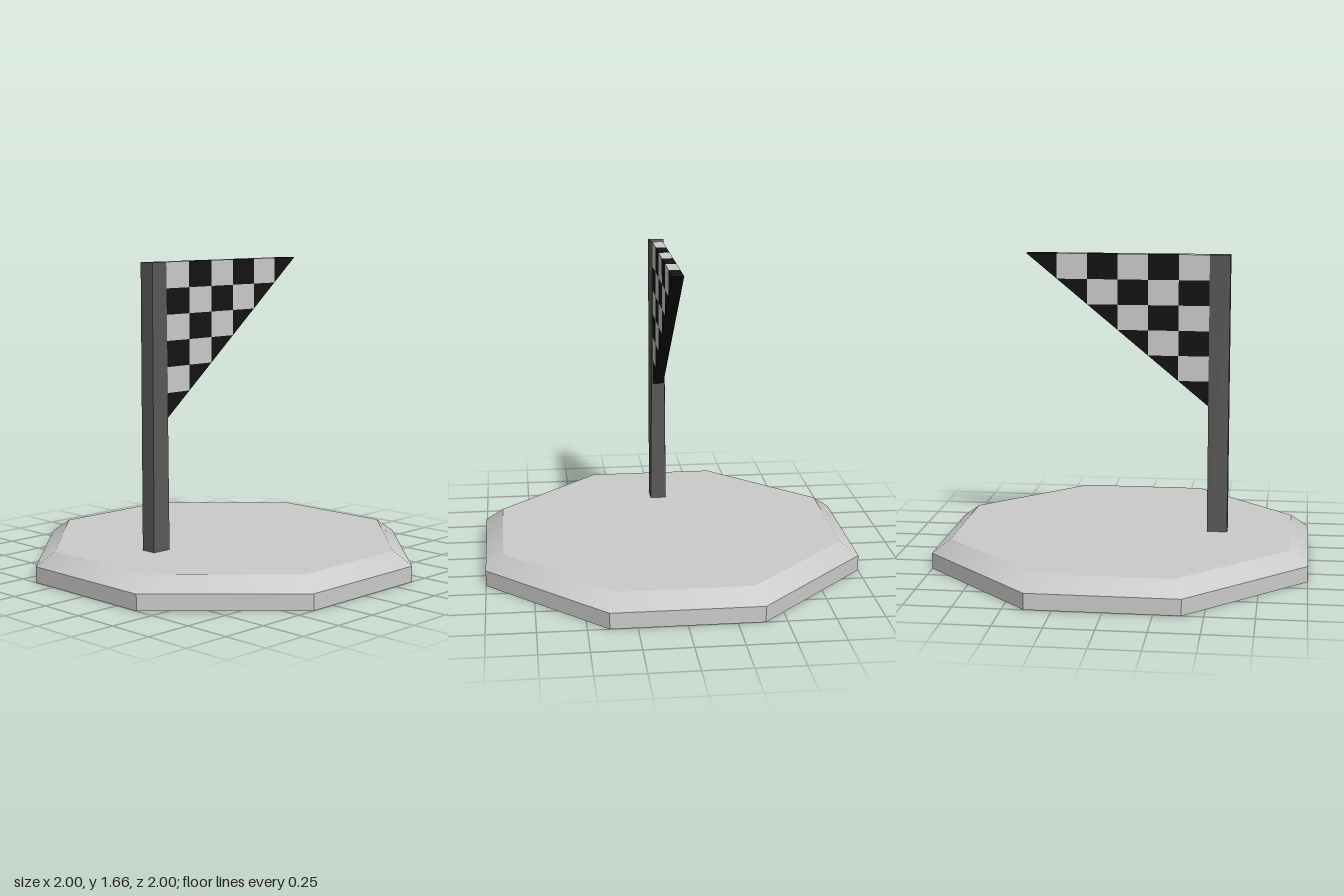
import * as THREE from 'three';
import { mergeGeometries } from 'three/addons/utils/BufferGeometryUtils.js';

const grey = new THREE.MeshStandardMaterial({ color: 0xcccccc });
const greyFlat = new THREE.MeshStandardMaterial({ color: 0xcccccc, flatShading: true });
const dark = new THREE.MeshStandardMaterial({ color: 0x5a5a5a, flatShading: true });
const black = new THREE.MeshStandardMaterial({ color: 0x131313, flatShading: true });

function add(group, name, geometry, material) {
  const mesh = new THREE.Mesh(geometry, material);
  mesh.name = name;
  group.add(mesh);
}

// Eight-sided ring between two heights; each end is [apothem, half side length]
function octagon(bottom, top, y0, y1, open) {
  const h = y1 - y0;
  const g = new THREE.CylinderGeometry(
    Math.hypot(...top), Math.hypot(...bottom), h, 8, 1, open, Math.PI / 8);
  const p = g.attributes.position;
  for (let i = 0; i < p.count; i++) {
    const [far, near] = p.getY(i) > 0 ? top : bottom;
    const x = p.getX(i), z = p.getZ(i);
    if (Math.hypot(x, z) < 0.01) continue; // cap centre
    const wide = Math.abs(x) > Math.abs(z);
    p.setX(i, Math.sign(x) * (wide ? far : near));
    p.setZ(i, Math.sign(z) * (wide ? near : far));
  }
  return g.translate(0, y0 + h / 2, 0);
}

// Flat polygon from corners in counter-clockwise order
function face(corners) {
  const points = [];
  for (let i = 1; i < corners.length - 1; i++) {
    points.push(...corners[0], ...corners[i], ...corners[i + 1]);
  }
  const g = new THREE.BufferGeometry();
  g.setAttribute('position', new THREE.Float32BufferAttribute(points, 3));
  g.computeVertexNormals();
  return g;
}

function createBase() {
  const base = new THREE.Group();
  base.name = 'base';
  const outer = [1, 0.39], inner = [0.905, 0.35];
  const walls = octagon(outer, outer, 0, 0.085, true);
  add(base, 'baseWalls', walls, greyFlat);
  add(base, 'baseBevel', octagon(outer, inner, 0.085, 0.157, true), grey);
  // Floor and top plates
  const ring = ([f, n], y) => [[f, n], [n, f], [-n, f], [-f, n], [-f, -n], [-n, -f], [n, -f], [f, -n]]
    .map(([x, z]) => [x, y, z]);
  add(base, 'baseUnderside', face(ring(outer, 0)), greyFlat);
  add(base, 'baseTop', face(ring(inner, 0.157).reverse()), greyFlat);
  return base;
}

function createPole() {
  const g = new THREE.BoxGeometry(0.11, 1.508, 0.088);
  // The flag side narrows toward the top to the flag's thickness
  const p = g.attributes.position;
  for (let i = 0; i < p.count; i++) {
    if (p.getX(i) > 0 && p.getY(i) > 0) p.setZ(i, Math.sign(p.getZ(i)) * 0.03);
  }
  return g.translate(-0.505, 0.911, 0);
}

function createFlag() {
  const flag = new THREE.Group();
  flag.name = 'flag';
  const n = 6, left = -0.45, top = 1.665, w = 0.985 / n, h = 0.815 / n, t = 0.03;
  const at = (i, j, z) => [left + i * w, top - j * h, z];
  const cells = [[], []]; // light, dark

  // Checks on both sides; those on the slanted edge are triangles
  for (let j = 0; j < n; j++) {
    for (let i = 0; i + j < n; i++) {
      const list = cells[(i + j) % 2];
      const outline = [[i, j], [i, j + 1], [i + 1, j + 1], [i + 1, j]];
      if (i + j === n - 1) outline.splice(2, 1);
      list.push(face(outline.map(([a, b]) => at(a, b, t))));
      list.push(face(outline.map(([a, b]) => at(a, b, -t)).reverse()));
    }
  }
  // Top edge
  for (let i = 0; i < n; i++) {
    cells[i % 2].push(face([at(i, 0, t), at(i + 1, 0, t), at(i + 1, 0, -t), at(i, 0, -t)]));
  }
  // Slanted lower edge
  cells[1].push(face([at(0, n, t), at(0, n, -t), at(n, 0, -t), at(n, 0, t)]));

  add(flag, 'lightChecks', mergeGeometries(cells[0]), greyFlat);
  add(flag, 'darkChecks', mergeGeometries(cells[1]), black);
  return flag;
}

export function createModel() {
  const model = new THREE.Group();
  model.name = 'flagOnBase';
  model.add(createBase());
  add(model, 'pole', createPole(), dark);
  model.add(createFlag());
  return model;
}
